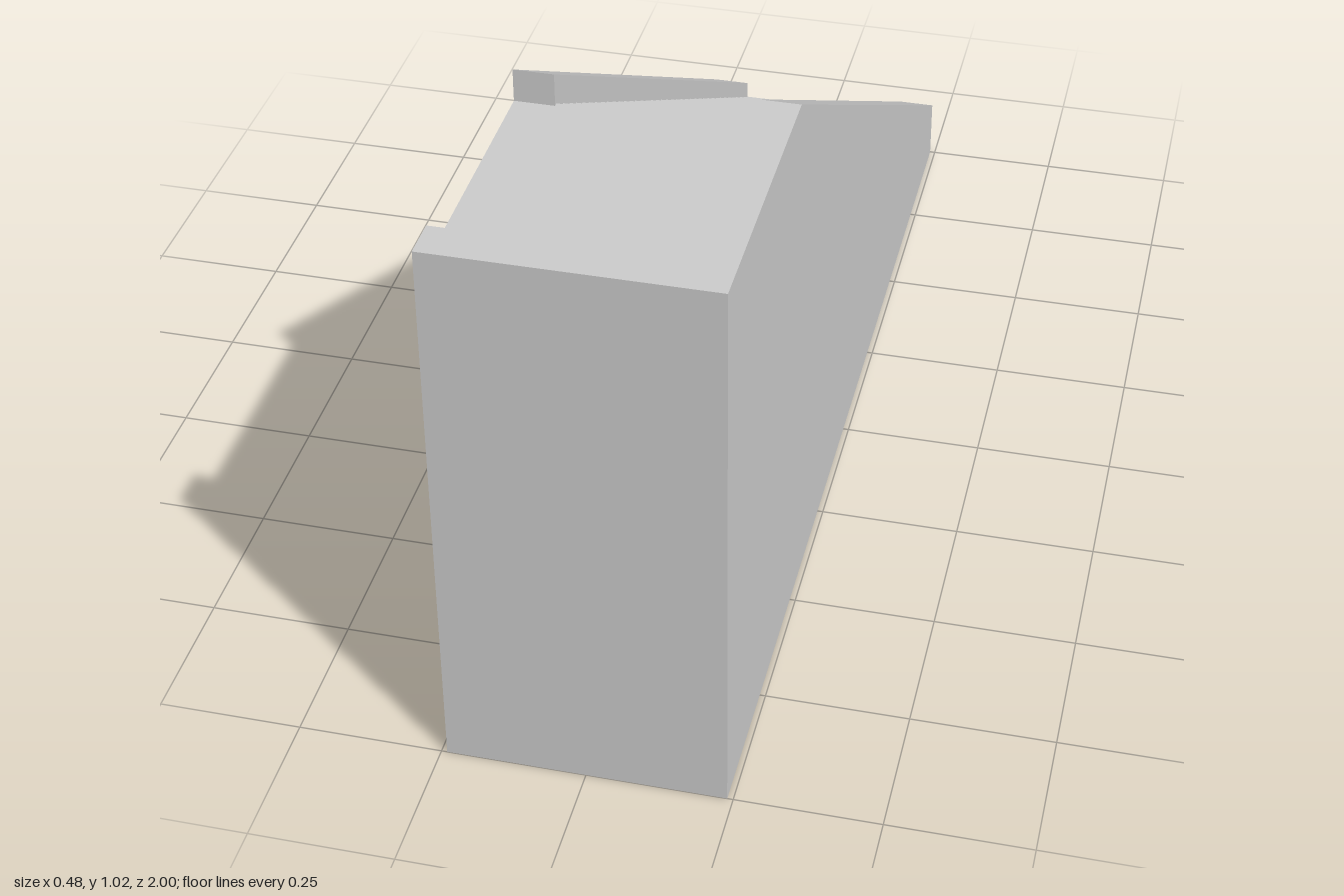
import * as THREE from 'three';

const W = 0.24, IN = 0.17;            // half width, inner edge of the rails
const DECK = 0.96, TOP = 1.02;        // landing and rail heights
const CREST = 0.47, LIP = 0.93;       // z of slope top and of the front rail's inner face
const FOOT = 0.12, STEPS = 38, FIRST = 0.085;

const material = new THREE.MeshStandardMaterial({ color: 0xcccccc, side: THREE.DoubleSide, flatShading: true });

export function createModel() {
  const group = new THREE.Group();
  const add = (name, geometry) => {
    const mesh = new THREE.Mesh(geometry, material);
    mesh.name = name;
    group.add(mesh);
  };

  // Sheet that follows a [z, y] path and spans x0..x1
  const strip = (name, path, x0, x1) => {
    const pos = [];
    for (let i = 0; i + 1 < path.length; i++) {
      const [az, ay] = path[i], [bz, by] = path[i + 1];
      pos.push(x0, ay, az, x0, by, bz, x1, by, bz);
      pos.push(x0, ay, az, x1, by, bz, x1, ay, az);
    }
    const g = new THREE.BufferGeometry();
    g.setAttribute('position', new THREE.Float32BufferAttribute(pos, 3));
    g.computeVertexNormals();
    add(name, g);
  };

  // Upright panel with a [z, y] outline at x, facing +x or -x
  const panel = (name, outline, x, facing) => {
    const shape = new THREE.Shape(outline.map(([z, y]) => new THREE.Vector2(-facing * z, y)));
    add(name, new THREE.ShapeGeometry(shape).rotateY(facing * Math.PI / 2).translate(x, 0, 0));
  };

  // Zigzag of risers and treads, ending at the landing
  const stairs = [[-1, FIRST]];
  const run = 1.462 / STEPS, rise = (DECK - FIRST) / STEPS;
  for (let i = 1; i <= STEPS; i++) {
    const z = -1 + i * run;
    stairs.push([z, FIRST + (i - 1) * rise], [z, FIRST + i * rise]);
  }
  strip('steps', stairs, -IN, IN);
  strip('landing', [[-1 + STEPS * run, DECK], [LIP, DECK]], -IN, IN);
  strip('landingOpenEdge', [[CREST, DECK], [LIP, DECK]], -W, -IN);

  // Outer walls, hollow and open underneath
  panel('leftWall', [[1, 0], [1, TOP], [CREST, TOP], [-1, FOOT], [-1, 0]], W, 1);
  panel('rightWall', [[1, 0], [1, TOP], [LIP, TOP], [LIP, DECK], [CREST, DECK],
    [CREST, TOP], [-1, FOOT], [-1, 0]], -W, -1);
  strip('frontWall', [[1, TOP], [1, 0]], -W, W);
  strip('backWall', [[-1, 0], [-1, FIRST]], -W, W);

  // Rails: the left one runs along the landing, the right one stops at the crest
  strip('leftRailTop', [[-1, FIRST], [-1, FOOT], [CREST, TOP], [1, TOP]], IN, W);
  strip('rightRailTop', [[-1, FIRST], [-1, FOOT], [CREST, TOP], [CREST, DECK]], -W, -IN);
  strip('frontRail', [[LIP, DECK], [LIP, TOP], [1, TOP]], -W, IN);
  panel('leftRailInside', [...stairs, [LIP, DECK], [LIP, TOP], [CREST, TOP], [-1, FOOT]], IN, -1);
  panel('rightRailInside', [...stairs, [CREST, DECK], [CREST, TOP], [-1, FOOT]], -IN, 1);

  return group;
}
